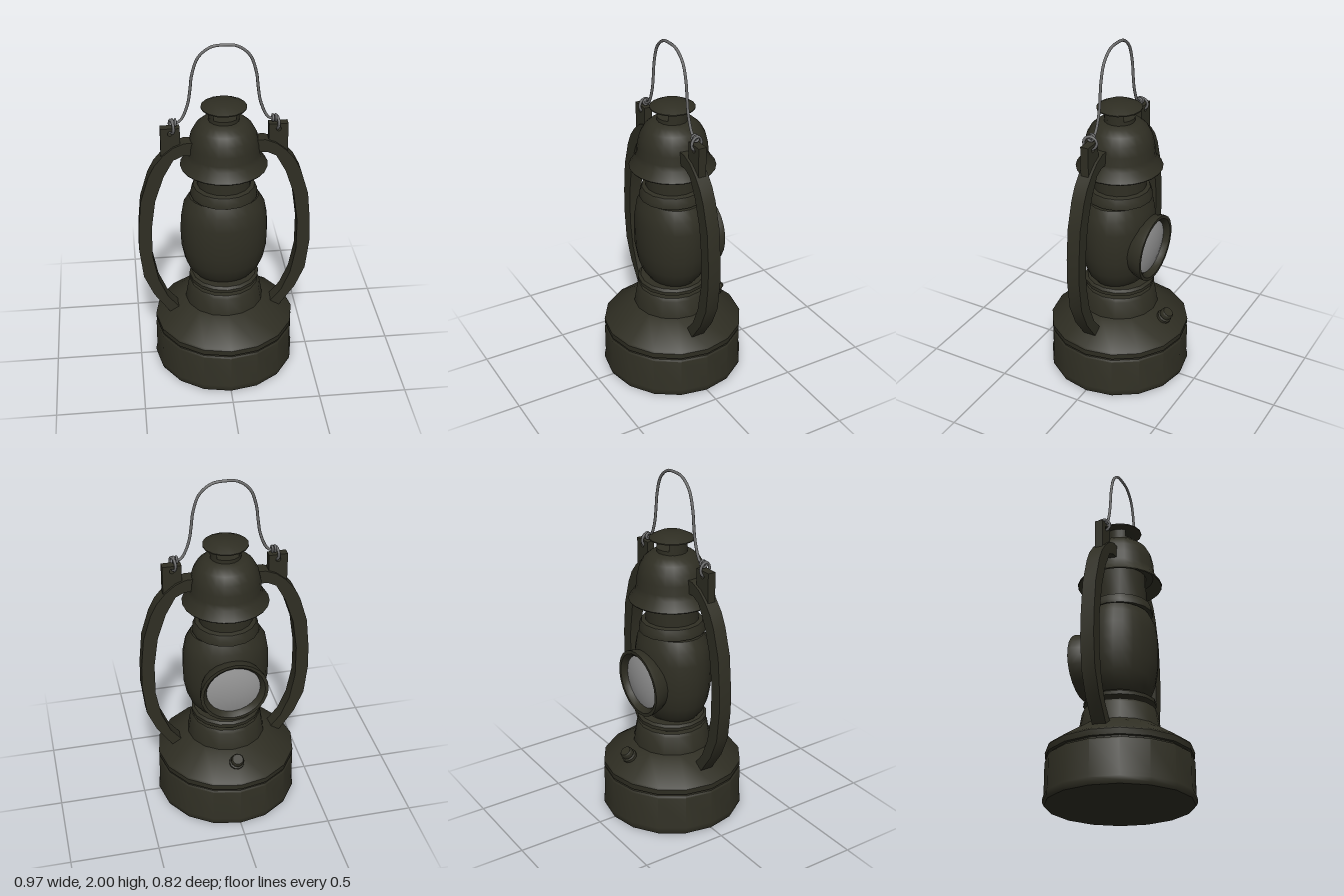
import * as THREE from 'three';
import { toCreasedNormals } from 'three/addons/utils/BufferGeometryUtils.js';

const paint = new THREE.MeshStandardMaterial({ color: 0x2f2e23, side: THREE.DoubleSide });
paint.name = 'dark olive paint';
const wire = new THREE.MeshStandardMaterial({ color: 0x6c6c6c });
wire.name = 'grey wire';
const glass = new THREE.MeshStandardMaterial({ color: 0x989898 });
glass.name = 'pale lens';

const vec = ([x, y]) => new THREE.Vector2(x, y);

function add(parent, name, geometry, material) {
  const mesh = new THREE.Mesh(geometry, material);
  mesh.name = name;
  parent.add(mesh);
  return mesh;
}

// Turned part: profile of [radius, height], from the bottom up
function turned(parent, name, profile, sides = 16, material = paint) {
  const geometry = new THREE.LatheGeometry(profile.map(vec), sides);
  return add(parent, name, toCreasedNormals(geometry, 0.65), material);
}

// One side arm with its lug and wire hook, made for +x
function makeSide() {
  const side = new THREE.Group();
  side.name = 'sideAssembly';

  const outer = [[0.17, 1.45], [0.22, 1.45], [0.28, 1.425], [0.335, 1.38], [0.385, 1.32], [0.42, 1.25],
    [0.465, 1.1], [0.482, 0.92], [0.485, 0.78], [0.465, 0.6], [0.41, 0.47], [0.32, 0.34]];
  const inner = [[0.265, 0.37], [0.33, 0.45], [0.38, 0.57], [0.41, 0.73], [0.41, 0.92],
    [0.385, 1.1], [0.335, 1.25], [0.28, 1.35], [0.23, 1.375], [0.17, 1.375]];
  const arm = new THREE.ExtrudeGeometry(new THREE.Shape([...outer, ...inner].map(vec)),
    { depth: 0.076, bevelEnabled: false });
  arm.translate(0, 0, -0.038);
  add(side, 'sideArm', toCreasedNormals(arm, 0.65), paint);

  const plate = new THREE.Shape([[0.24, 1.39], [0.345, 1.36], [0.345, 1.535], [0.24, 1.535]].map(vec));
  const hole = new THREE.Path();
  hole.absarc(0.292, 1.505, 0.014, 0, Math.PI * 2);
  plate.holes.push(hole);
  const lug = new THREE.ExtrudeGeometry(plate, { depth: 0.046, bevelEnabled: false, curveSegments: 6 });
  lug.translate(0, 0, -0.023);
  add(side, 'handleLug', lug, paint);

  // Wire eye through the lug and the small coil above it
  const eye = add(side, 'wireEye', new THREE.TorusGeometry(0.036, 0.008, 6, 16), wire);
  eye.position.set(0.283, 1.537, 0);
  eye.rotation.y = Math.PI / 2 + 0.25;
  for (const x of [0.262, 0.278]) {
    const coil = add(side, 'wireCoil', new THREE.TorusGeometry(0.016, 0.007, 6, 12), wire);
    coil.position.set(x, 1.562, 0);
    coil.rotation.y = Math.PI / 2;
  }
  return side;
}

export function createModel() {
  const model = new THREE.Group();
  model.name = 'lantern';

  // Fuel tank: drum, recessed seam and sloping lid
  turned(model, 'tankDrum', [[0, 0], [0.4, 0], [0.408, 0.015], [0.408, 0.04], [0.402, 0.06],
    [0.402, 0.235], [0.395, 0.245], [0.37, 0.245]]);
  turned(model, 'tankSeam', [[0.38, 0.24], [0.38, 0.265]]);
  turned(model, 'tankLid', [[0.37, 0.258], [0.4, 0.258], [0.402, 0.29], [0.395, 0.3],
    [0.225, 0.41], [0.15, 0.42]]);

  // Burner collar and ring below the globe
  turned(model, 'burnerCollar', [[0.225, 0.405], [0.207, 0.51], [0.195, 0.528], [0.13, 0.532]]);
  turned(model, 'burnerNeck', [[0.135, 0.52], [0.135, 0.6]]);
  turned(model, 'globeRing', [[0.13, 0.543], [0.185, 0.543], [0.2, 0.552], [0.2, 0.572],
    [0.185, 0.584], [0.13, 0.584]]);

  // Globe, slightly flattened front to back
  const globe = turned(model, 'globe', [[0.1, 0.585], [0.165, 0.588], [0.2, 0.63], [0.225, 0.69],
    [0.243, 0.78], [0.246, 0.87], [0.243, 0.96], [0.228, 1.04], [0.195, 1.095], [0.12, 1.1]], 24);
  globe.scale.z = 0.83;
  globe.position.z = 0.005;

  // Shoulder and chimney
  turned(model, 'shoulder', [[0.12, 1.098], [0.188, 1.102], [0.186, 1.125], [0.172, 1.16],
    [0.15, 1.168]]);
  turned(model, 'chimney', [[0.15, 1.15], [0.15, 1.34]]);

  // Hood with flared skirt
  turned(model, 'hood', [[0.15, 1.335], [0.19, 1.335], [0.238, 1.283], [0.241, 1.289], [0.205, 1.34],
    [0.197, 1.37], [0.193, 1.42], [0.18, 1.475], [0.155, 1.52], [0.12, 1.55], [0.08, 1.56], [0, 1.56]], 24);

  // Vent: two curved walls leave openings at front and back
  turned(model, 'ventBase', [[0.085, 1.55], [0.085, 1.58], [0, 1.58]]);
  for (const start of [Math.PI / 4, Math.PI * 1.25]) {
    const wall = new THREE.CylinderGeometry(0.085, 0.085, 0.06, 6, 1, true, start, Math.PI / 2);
    add(model, 'ventWall', wall, paint).position.y = 1.605;
  }
  turned(model, 'ventCap', [[0, 1.62], [0.085, 1.62], [0.125, 1.63], [0.125, 1.636],
    [0.072, 1.662], [0, 1.664]]);

  // Lens housing on the back, tipped slightly down
  const lamp = new THREE.Group();
  lamp.name = 'lensAssembly';
  lamp.position.set(0, 0.822, -0.13);
  lamp.rotation.x = -Math.PI / 2 - 0.05;
  model.add(lamp);
  turned(lamp, 'lensHousing', [[0.165, 0], [0.182, 0.04], [0.193, 0.08], [0.194, 0.102],
    [0.176, 0.102], [0.158, 0.085], [0.152, 0.065]], 24);
  turned(lamp, 'lens', [[0.156, 0.07], [0.11, 0.082], [0.055, 0.089], [0, 0.091]], 24, glass);

  // Filler cap standing square on the lid's slope
  const filler = new THREE.Group();
  filler.name = 'fillerCap';
  filler.position.set(0, 0.36, -0.285);
  filler.rotation.x = -0.57;
  model.add(filler);
  turned(filler, 'fillerNeck', [[0.043, -0.01], [0.043, 0.022], [0.032, 0.027]], 12);
  turned(filler, 'fillerKnob', [[0.03, 0.025], [0.036, 0.032], [0.036, 0.056], [0.03, 0.064], [0, 0.064]], 12);

  // Side arms, the second turned to the other side
  for (const angle of [0, Math.PI]) {
    const side = makeSide();
    side.rotation.y = angle;
    side.position.z = 0.018;
    model.add(side);
  }

  // Wire carrying handle
  const half = [[0.275, 1.55], [0.235, 1.57], [0.195, 1.66], [0.18, 1.75], [0.17, 1.83],
    [0.135, 1.93], [0.07, 1.983]];
  const path = [...half, [0, 1.992], ...half.map(([x, y]) => [-x, y]).reverse()];
  const curve = new THREE.CatmullRomCurve3(path.map(([x, y]) => new THREE.Vector3(x, y, 0.016)));
  add(model, 'carryHandle', new THREE.TubeGeometry(curve, 64, 0.008, 8), wire);

  return model;
}
